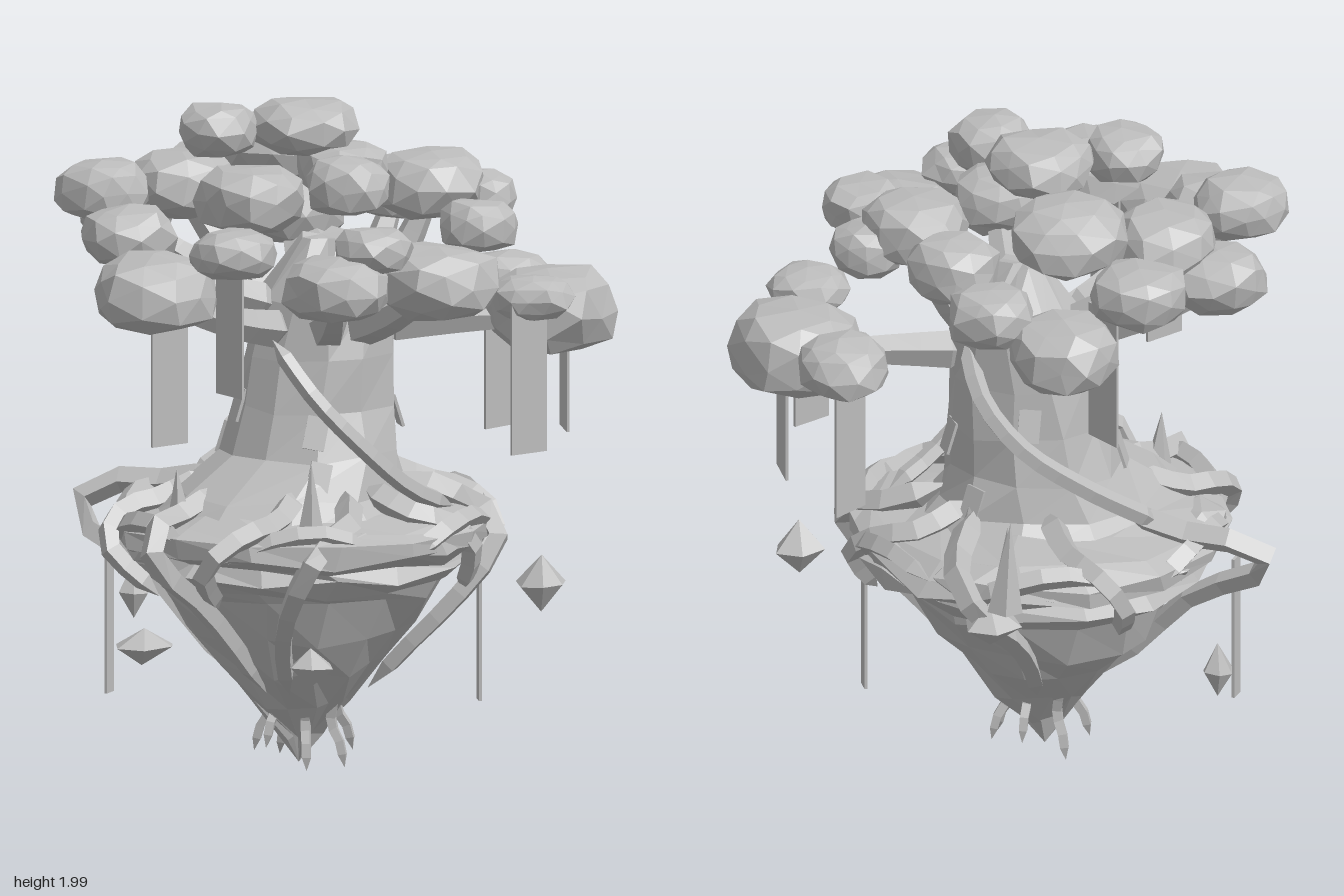
import * as THREE from 'three';

const V = (x, y, z) => new THREE.Vector3(x, y, z);
const stone = new THREE.MeshStandardMaterial({ color: 0xbcbcbc });
stone.name = 'pale grey';

// Repeatable noise in -1..1 from a position
function noise(x, y, z, k) {
  const s = Math.sin(Math.round(x * 500) * 12.99 + Math.round(y * 500) * 78.23 + Math.round(z * 500) * 37.72 + k * 4.13) * 43758.5453;
  return (s - Math.floor(s)) * 2 - 1;
}

// Move every vertex by a rule
function warp(geo, rule) {
  const p = geo.attributes.position, v = V(0, 0, 0);
  for (let i = 0; i < p.count; i++) {
    v.fromBufferAttribute(p, i);
    rule(v, i);
    p.setXYZ(i, v.x, v.y, v.z);
  }
  return geo;
}
const rough = (geo, amount, seed = 0) => warp(geo, v => {
  const { x, y, z } = v;
  v.x += noise(x, y, z, seed + 1) * amount;
  v.y += noise(x, y, z, seed + 2) * amount;
  v.z += noise(x, y, z, seed + 3) * amount;
});

export function createModel() {
  const model = new THREE.Group();
  function add(name, geo, parent = model) {
    const flat = geo.index ? geo.toNonIndexed() : geo;
    flat.computeVertexNormals();
    const mesh = new THREE.Mesh(flat, stone);
    mesh.name = name;
    parent.add(mesh);
    return mesh;
  }
  function group(name) {
    const g = new THREE.Group();
    g.name = name;
    model.add(g);
    return g;
  }
  // Tapered limb along a curve, closed at both ends
  function limb(points, r0, r1, sides = 4, steps = 8) {
    const curve = new THREE.CatmullRomCurve3(points.map(p => V(...p)));
    const geo = new THREE.TubeGeometry(curve, steps, 1, sides, false);
    return warp(geo, (v, i) => {
      const k = Math.floor(i / (sides + 1)), t = k / steps;
      const c = curve.getPointAt(t);
      v.sub(c).multiplyScalar(k === 0 || k === steps ? 0 : r0 + (r1 - r0) * t).add(c);
    });
  }

  // Floating island, a stepped upside-down cone
  const profile = [[0, 0.02], [0.05, 0.09], [0.14, 0.2], [0.25, 0.32], [0.34, 0.43], [0.41, 0.55], [0.43, 0.58],
    [0.5, 0.63], [0.48, 0.66], [0.57, 0.7], [0.57, 0.75], [0.5, 0.79], [0.34, 0.82], [0, 0.83]];
  const island = rough(new THREE.LatheGeometry(profile.map(p => new THREE.Vector2(...p)), 14), 0.018);
  island.translate(-0.01, 0, -0.04);
  add('island', island);

  // Flat boulders along the rim
  const boulders = group('rimBoulders');
  for (let i = 0; i < 10; i++) {
    const a = i * 0.628 + 0.2;
    const m = add('boulder', rough(new THREE.IcosahedronGeometry(1, 0), 0.2, i), boulders);
    m.scale.set(0.16, 0.05, 0.1);
    m.position.set(Math.sin(a) * 0.48, 0.72 + 0.03 * Math.sin(i * 2.4), Math.cos(a) * 0.46 - 0.04);
    m.rotation.y = a;
  }

  // Trunk: rows of y, centre x, x radius, z radius
  const rows = [[0.76, -0.05, 0.46, 0.4], [0.85, -0.04, 0.36, 0.32], [0.96, 0.02, 0.27, 0.27],
    [1.1, 0.045, 0.245, 0.24], [1.25, 0.06, 0.225, 0.22], [1.41, 0.075, 0.2, 0.21], [1.6, 0.07, 0.06, 0.07]];
  const trunkZ = -0.04;
  const trunk = warp(new THREE.CylinderGeometry(1, 1, 6, 11, 6), v => {
    const [y, cx, rx, rz] = rows[Math.round(v.y + 3)];
    v.set(cx + v.x * rx, y, trunkZ + v.z * rz);
  });
  add('trunk', rough(trunk, 0.012));

  // Window plates on the trunk: angle from the front, row, tilt
  const windows = group('windows');
  [[-0.45, 1.6, 0.25], [-0.6, 2.6, 0.2], [1.75, 1.4, 0.1], [1.2, 2.7, 0], [2.5, 3.4, 0.1], [3.9, 2.2, 0], [4.4, 3, 0]].forEach(([a, row, tilt]) => {
    const i = Math.floor(row), f = row - i;
    const [y, cx, rx, rz] = rows[i].map((n, k) => n + (rows[i + 1][k] - n) * f);
    const pane = add('window', new THREE.BoxGeometry(0.065, 0.1, 0.009), windows);
    pane.position.set(cx + Math.sin(a) * rx, y, trunkZ + Math.cos(a) * rz);
    pane.rotation.set(-0.3, a, -tilt, 'YXZ');
  });

  // Vines winding round the trunk
  const vines = group('trunkVines');
  add('frontVine', limb([[-0.19, 1.32, 0.06], [-0.13, 1.15, 0.2], [0, 1, 0.26], [0.15, 0.87, 0.29], [0.3, 0.8, 0.3]], 0.026, 0.03, 5, 12), vines);
  add('backVine', limb([[0.25, 1.38, 0], [0.31, 1.25, -0.15], [0.26, 1.12, -0.27], [0.1, 0.98, -0.36],
    [-0.14, 0.82, -0.43]], 0.03, 0.032, 5, 14), vines);

  // Leaf clumps: x, y, z, radius, half height
  const clumps = [
    [0.09, 1.7, -0.62, 0.145, 0.09], [0.33, 1.56, -0.56, 0.165, 0.105], [0.46, 1.65, -0.37, 0.13, 0.085],
    [0.14, 1.81, -0.34, 0.175, 0.105], [-0.18, 1.72, -0.4, 0.165, 0.105], [-0.27, 1.62, -0.55, 0.14, 0.095],
    [-0.49, 1.74, -0.38, 0.14, 0.09], [-0.55, 1.64, -0.17, 0.14, 0.09], [-0.21, 1.92, -0.18, 0.12, 0.08],
    [0.03, 1.92, -0.08, 0.16, 0.085], [0.39, 1.69, -0.11, 0.14, 0.095], [-0.65, 1.52, 0.1, 0.185, 0.115],
    [-0.29, 1.76, 0.09, 0.165, 0.1], [0.36, 1.74, 0.11, 0.165, 0.105], [0.49, 1.69, 0.17, 0.11, 0.08],
    [0.68, 1.4, 0.05, 0.135, 0.09], [0.64, 1.36, 0.32, 0.195, 0.13], [-0.51, 1.65, 0.3, 0.13, 0.075],
    [-0.1, 1.81, 0.31, 0.125, 0.09], [0.28, 1.67, 0.45, 0.12, 0.08], [0.46, 1.44, 0.48, 0.12, 0.065],
    [0.06, 1.54, 0.54, 0.185, 0.115], [-0.14, 1.65, 0.5, 0.115, 0.07], [-0.25, 1.54, 0.47, 0.16, 0.095],
    [0.1, 1.8, 0.02, 0.14, 0.08]];
  const canopy = group('canopy');
  clumps.forEach(([x, y, z, r, h], i) => {
    // Cushion shape: fuller shoulders and a flatter underside than a ball
    const ball = warp(new THREE.IcosahedronGeometry(1, 1), v => {
      v.y = Math.sign(v.y) * Math.min(Math.abs(v.y) ** 0.75, v.y < 0 ? 0.85 : 1);
      const s = Math.hypot(v.x, v.z);
      if (s > 0.01) { v.x *= s ** -0.25; v.z *= s ** -0.25; }
    });
    const m = add('leafClump', rough(ball, 0.08, i * 5), canopy);
    m.scale.set(r, h, r);
    m.position.set(x, y, z);
    m.rotation.y = i * 1.3;
  });

  // Branches from the trunk top to the clumps
  const branches = group('branches');
  [1, 4, 5, 7, 10, 11, 13, 16, 21, 23].forEach(i => {
    const [x, y, z] = clumps[i];
    const d = Math.hypot(x - 0.07, z - trunkZ);
    const sx = 0.07 + (x - 0.07) / d * 0.12, sz = trunkZ + (z - trunkZ) / d * 0.12;
    const low = y < 1.6 ? 1.32 : 1.38;
    add('branch', limb([[sx, low, sz], [(sx + x) / 2, low + (y - low) * 0.35, (sz + z) / 2], [x, y - 0.02, z]],
      0.065, 0.03, 5, 6), branches);
  });

  // Hanging leaf curtains: x, top, bottom, z, turn
  const curtains = group('hangingCurtains');
  [[-0.65, 1.5, 1.07, 0.17, 0], [-0.45, 1.65, 1.2, 0.2, 1.57], [0.415, 1.45, 0.98, 0.52, 0],
    [0.695, 1.4, 0.95, 0, 0.15], [0.72, 1.35, 0.985, 0.285, 1.1], [0.17, 1.65, 1.22, -0.545, 1.57]].forEach(([x, top, bottom, z, turn]) => {
    const m = add('curtain', new THREE.BoxGeometry(0.13, top - bottom, 0.008), curtains);
    m.position.set(x, (top + bottom) / 2, z);
    m.rotation.y = turn;
  });
  // Narrow streamers below the rim
  [[0.41, 0.72, 0.28, 1.1], [-0.4, 0.65, -0.47, 0.5]].forEach(([x, top, z, turn]) => {
    const m = add('streamer', new THREE.BoxGeometry(0.048, top - 0.2, 0.009), curtains);
    m.position.set(x, (top + 0.2) / 2, z);
    m.rotation.y = turn;
  });

  // Roots draped over the rim: angle from the front, reach, twist
  const roots = group('roots');
  [[0.25, 0.54, 0.5], [0.95, 0.58, -0.4], [1.45, 0.58, -0.5], [1.95, 0.65, 0.45], [2.7, 0.62, 0.35],
    [3.5, 0.75, 0.3], [4.2, 0.62, 0.4], [4.75, 0.65, 0.25], [5.4, 0.69, -0.4], [5.9, 0.56, -0.45]].forEach(([a, reach, twist], i) => {
    const at = (r, y, k) => [Math.sin(a + twist * k) * r, y, Math.cos(a + twist * k) * r - 0.03];
    const path = [at(0.27, 0.88, -0.4), at(0.44, 0.81, -0.1), at(reach - 0.06, 0.79, 0.2), at(reach, 0.71, 0.5), at(0.48, 0.55, 0.8)];
    if (i % 2) path.push(at(0.34, 0.4, 1), at(0.2, 0.25, 1.1));
    add('root', limb(path, 0.045, 0.028, 4, 10), roots);
  });
  // Roots running along the rim
  for (let i = 0; i < 6; i++) {
    const path = [-0.4, -0.13, 0.13, 0.4].map((d, k) => {
      const a = i * 1.05 + 0.4 + d;
      return [Math.sin(a) * 0.56, [0.7, 0.77, 0.79, 0.74][k], Math.cos(a) * 0.53 - 0.04];
    });
    add('rimRoot', limb(path, 0.038, 0.03, 4, 6), roots);
  }
  // Thin roots dangling at the tip
  for (let i = 0; i < 7; i++) {
    const a = i * 0.9 + 0.3, s = Math.sin(a), c = Math.cos(a), end = 0.01 + i % 3 * 0.03;
    add('tipRoot', limb([[s * 0.13, 0.26 + end, c * 0.13 - 0.04], [s * 0.1, 0.13 + end, c * 0.1 - 0.04],
      [s * 0.13, 0.08 + end, c * 0.13 - 0.04], [s * 0.15, end, c * 0.15 - 0.04]], 0.022, 0.016, 4, 7), roots);
  }

  // Pointed spikes on the island: x, z, tip height
  const spikes = group('spikes');
  [[0.46, -0.45, 1], [0.38, -0.36, 0.93], [-0.27, 0.36, 1], [-0.46, -0.04, 0.95]].forEach(([x, z, tip], i) => {
    const h = tip - 0.72;
    const m = add('spike', new THREE.ConeGeometry(0.055, h, 5), spikes);
    m.position.set(x, 0.72 + h / 2, z);
    m.rotation.set(0.08 * Math.sin(i), i, 0.08 * Math.cos(i));
  });

  // Rock chips floating round the island: position, then half sizes
  const chips = group('floatingChips');
  [[-0.68, 0.455, 0.08, 0.1, 0.055, 0.08], [-0.44, 0.44, 0.59, 0.075, 0.06, 0.065], [0.46, 0.58, 0.52, 0.08, 0.085, 0.07],
    [-0.135, 0.44, -0.71, 0.05, 0.085, 0.045], [0.48, 0.66, -0.4, 0.09, 0.07, 0.09]].forEach(([x, y, z, a, b, c], i) => {
    const m = add('chip', rough(new THREE.SphereGeometry(1, 6, 2), 0.08, i), chips);
    m.scale.set(a, b, c);
    m.position.set(x, y, z);
  });
  return model;
}
